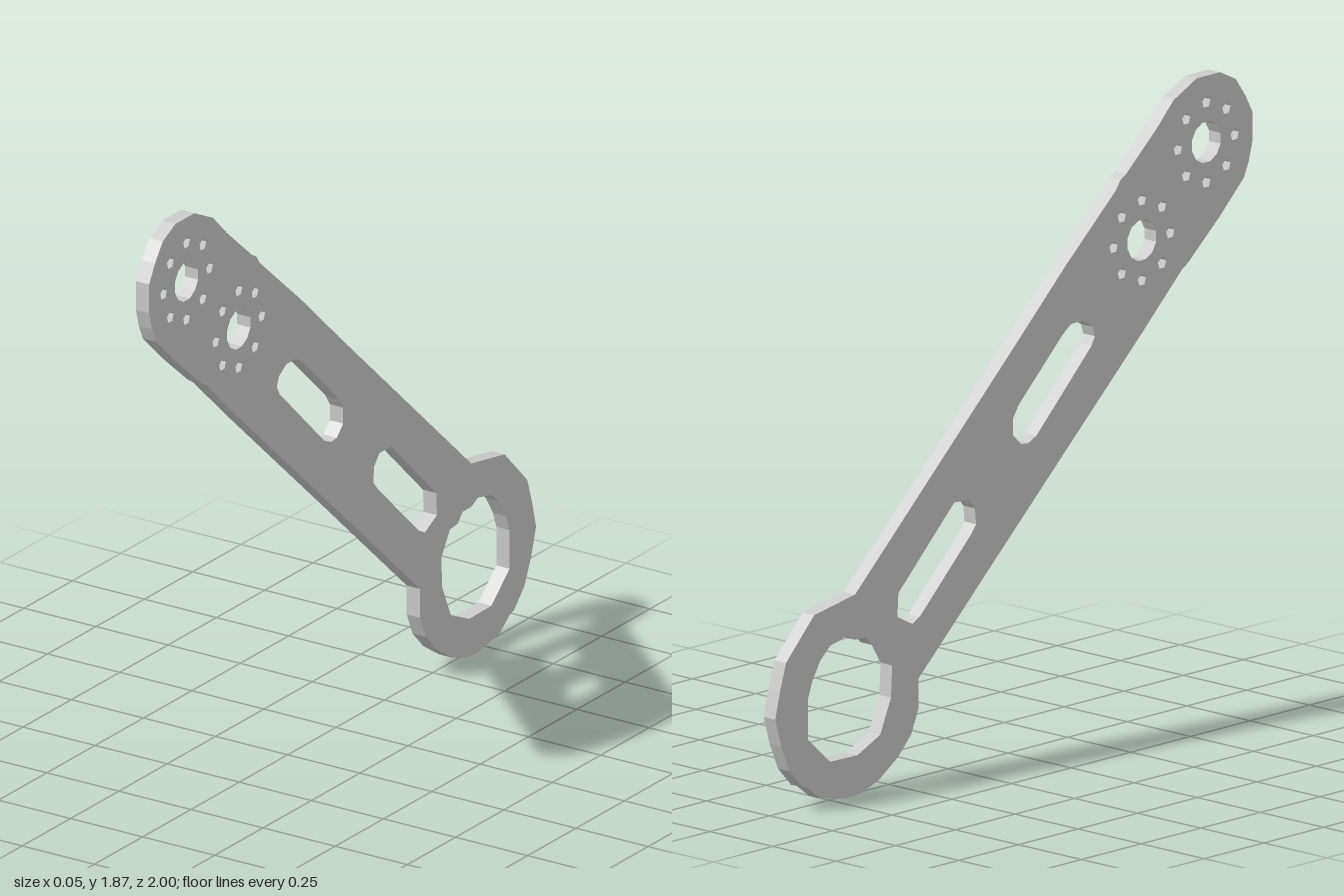
import * as THREE from 'three';

const THICKNESS = 0.046;

// Flat [u, y, u, y, ...] list to points; u runs toward the back (-z)
function points(list) {
  const out = [];
  for (let i = 0; i < list.length; i += 2) out.push(new THREE.Vector2(list[i], list[i + 1]));
  return out;
}

// Faceted round hole
function ring(u, y, radius, sides, turn = 0) {
  return Array.from({ length: sides }, (_, i) => {
    const a = turn + (i / sides) * Math.PI * 2;
    return new THREE.Vector2(u + radius * Math.cos(a), y + radius * Math.sin(a));
  });
}

export function createModel() {
  const group = new THREE.Group();
  group.name = 'mountingArm';

  // Arm with rounded upper end and wide lower collar, counter-clockwise
  const plate = new THREE.Shape(points([
    -0.865, 1.867, -0.767, 1.867, -0.67, 1.82, -0.6, 1.75, -0.47, 1.637, -0.447, 1.624,
    -0.428, 1.597, -0.22, 1.415, 0, 1.21, 0.665, 0.6, 0.837, 0.57, 0.955, 0.45,
    0.98, 0.37, 1, 0.29, 0.975, 0.205, 0.94, 0.125, 0.885, 0.067, 0.865, 0.062,
    0.81, 0.02, 0.7, 0, 0.64, 0.003, 0.565, 0.03, 0.485, 0.083, 0.43, 0.14,
    0.4, 0.21, 0.4, 0.3, 0, 0.665, -0.54, 1.155, -0.705, 1.31, -0.73, 1.325,
    -0.865, 1.44, -0.965, 1.535, -0.985, 1.58, -1, 1.635, -1, 1.725, -0.97, 1.78, -0.93, 1.835,
  ]).reverse());

  // Collar opening
  const collarHole = points([
    0.51, 0.36, 0.555, 0.432, 0.595, 0.437, 0.62, 0.465, 0.665, 0.465, 0.7, 0.482,
    0.77, 0.467, 0.81, 0.432, 0.845, 0.375, 0.863, 0.325, 0.863, 0.205, 0.77, 0.122,
    0.655, 0.12, 0.56, 0.163, 0.515, 0.265,
  ]);

  // Two long slots
  const upperSlot = points([
    -0.33, 1.21, -0.29, 1.235, -0.24, 1.235, -0.205, 1.21, -0.02, 1.035, 0.003, 1,
    0.003, 0.95, -0.03, 0.917, -0.06, 0.914, -0.095, 0.93, -0.325, 1.153, -0.34, 1.18,
  ]);
  const lowerSlot = points([
    0.163, 0.762, 0.19, 0.794, 0.25, 0.795, 0.484, 0.57, 0.488, 0.5,
    0.425, 0.467, 0.393, 0.484, 0.18, 0.687, 0.158, 0.714,
  ]);
  const holes = [collarHole, upperSlot, lowerSlot];

  // Two shaft holes, each circled by eight bolt holes
  for (const [u, y] of [[-0.807, 1.67], [-0.537, 1.429]]) {
    holes.push(ring(u, y, 0.062, 12, Math.PI / 12));
    for (const c of ring(u, y, 0.119, 8)) holes.push(ring(c.x, c.y, 0.018, 5, 0.3));
  }
  plate.holes = holes.map((h) => new THREE.Path(h));

  const geometry = new THREE.ExtrudeGeometry(plate, { depth: THICKNESS, bevelEnabled: false });
  geometry.translate(0, 0, -THICKNESS / 2);
  geometry.rotateY(Math.PI / 2);

  const arm = new THREE.Mesh(
    geometry,
    new THREE.MeshStandardMaterial({ color: 0xcccccc, flatShading: true })
  );
  arm.name = 'armPlate';
  group.add(arm);
  return group;
}
